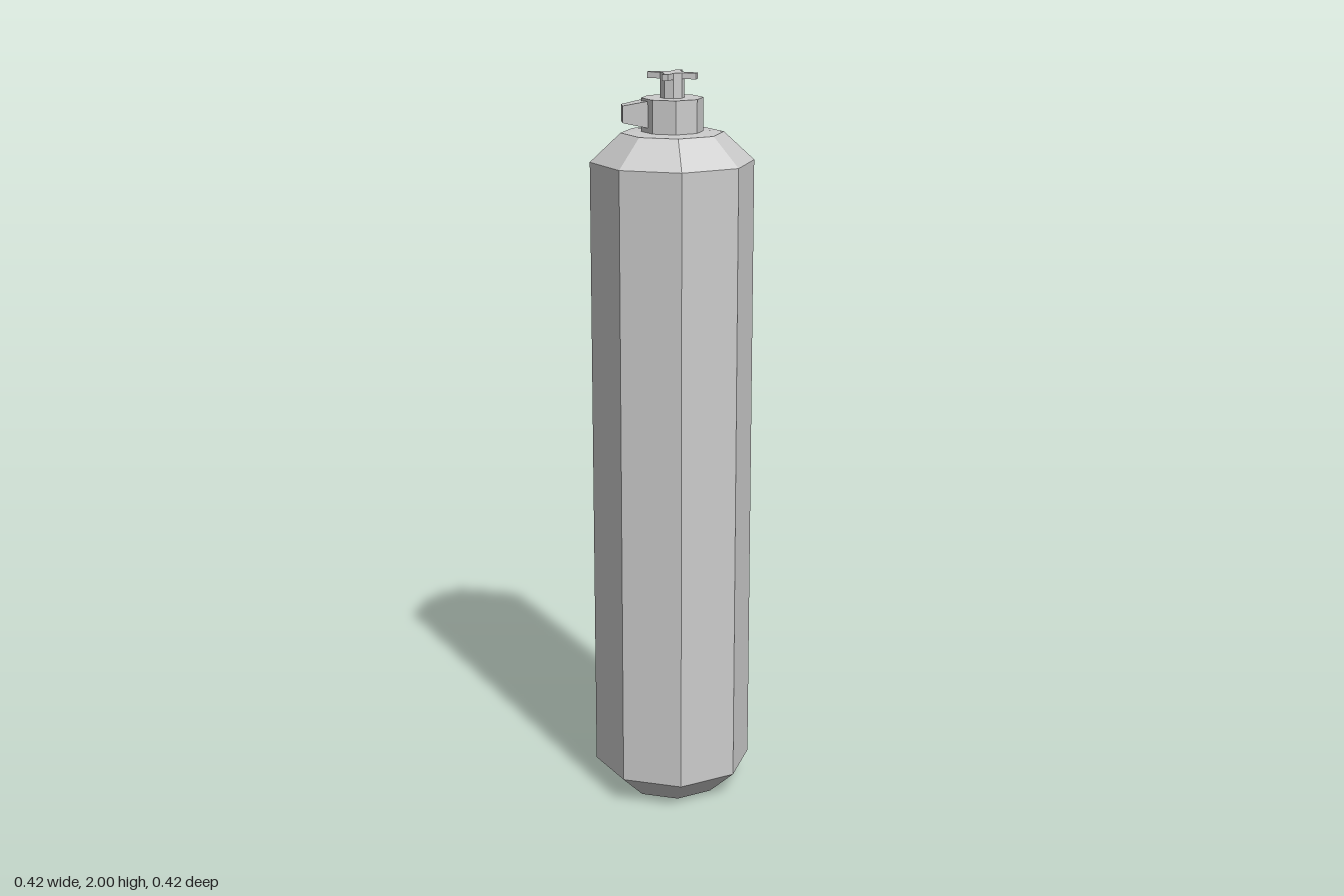
import * as THREE from 'three';

const material = new THREE.MeshStandardMaterial({ color: 0xcccccc, flatShading: true });

export function createModel() {
  const model = new THREE.Group();
  model.name = 'gasCylinder';
  const add = (name, geometry, x = 0, y = 0, z = 0) => {
    const mesh = new THREE.Mesh(geometry, material);
    mesh.name = name;
    mesh.position.set(x, y, z);
    model.add(mesh);
    return mesh;
  };

  // Eight-sided tank with bevelled base, shoulder and a nearly flat crown
  const profile = [[0, 0], [0.136, 0], [0.217, 0.075], [0.217, 1.77], [0.136, 1.845], [0, 1.853]];
  add('tank', new THREE.LatheGeometry(profile.map(([r, y]) => new THREE.Vector2(r, y)), 8));

  // Valve body and the stem above it
  add('valveBody', new THREE.CylinderGeometry(0.082, 0.082, 0.09, 8), 0, 1.89);
  add('valveStem', new THREE.CylinderGeometry(0.032, 0.032, 0.055, 8), 0, 1.96);

  // Tapered square outlet leaving one corner of the valve
  const outlet = new THREE.CylinderGeometry(0.022 * Math.SQRT2, 0.036 * Math.SQRT2, 0.072, 4, 1, false, Math.PI / 4);
  outlet.rotateZ(Math.PI / 2);
  add('outlet', outlet, -0.096, 1.895);

  // Four-armed handwheel; each arm tapers outward from a face of the stem
  const outline = [];
  for (let i = 0; i < 4; i++) {
    for (const [x, y] of [[0.03, -0.0123], [0.066, -0.008], [0.066, 0.008], [0.03, 0.0123]]) {
      outline.push(new THREE.Vector2(x, y).rotateAround(new THREE.Vector2(), i * Math.PI / 2));
    }
  }
  const wheel = new THREE.ExtrudeGeometry(new THREE.Shape(outline), { depth: 0.016, bevelEnabled: false });
  wheel.rotateX(-Math.PI / 2);
  add('handwheel', wheel, 0, 1.984).rotation.y = -Math.PI / 8;

  // Turn the whole octagon off the axes
  model.rotation.y = Math.PI / 6;
  const root = new THREE.Group();
  root.add(model);
  return root;
}
